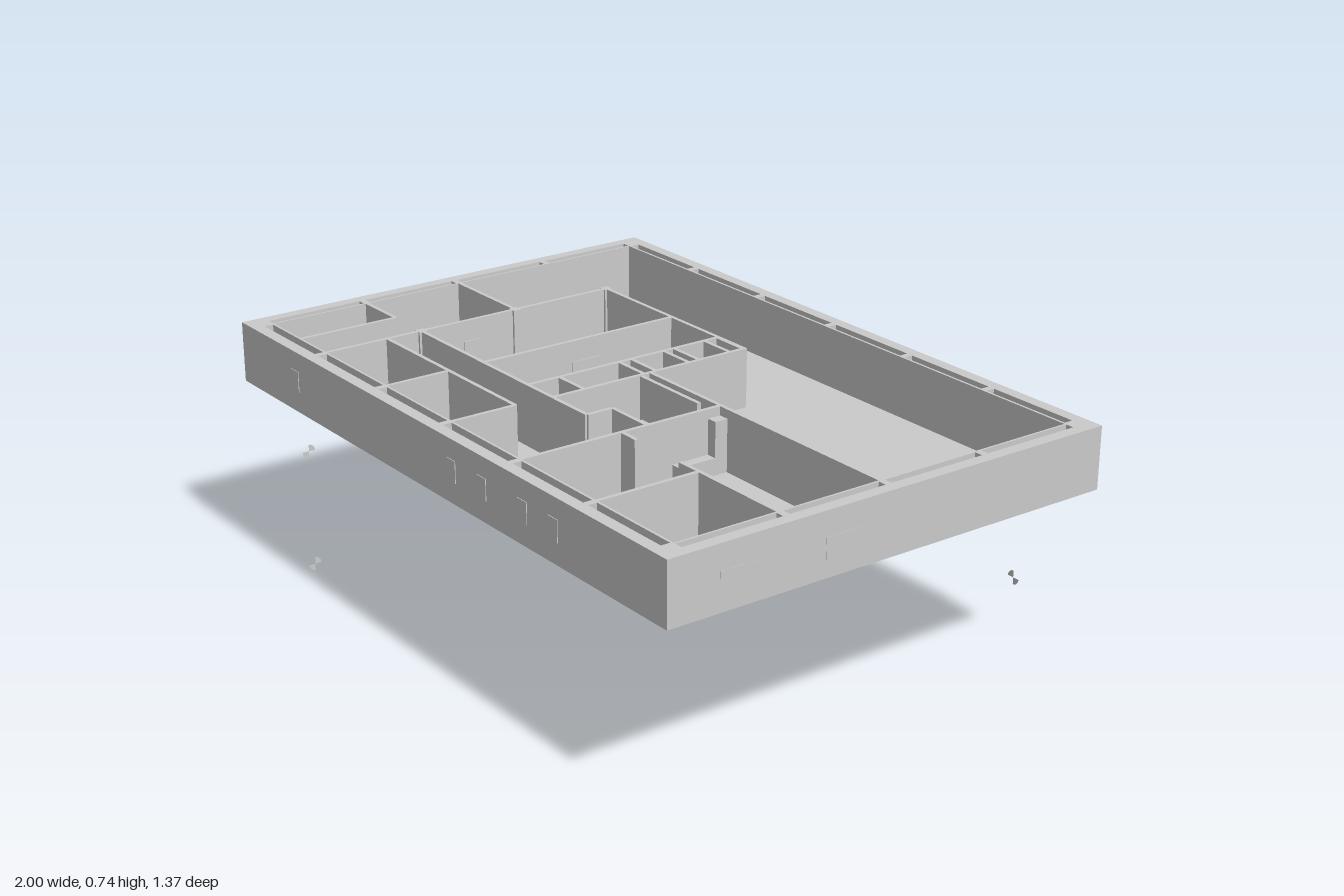
import * as THREE from 'three';

const FLOOR = 0.552, TOP = 0.725;

export function createModel() {
  const model = new THREE.Group();
  const grey = new THREE.MeshStandardMaterial({ color: 0xcccccc, flatShading: true });
  const thin = new THREE.MeshStandardMaterial({ color: 0xcccccc, side: THREE.DoubleSide });

  const add = (name, geometry, x = 0, y = 0, z = 0, material = grey) => {
    const mesh = new THREE.Mesh(geometry, material);
    mesh.name = name;
    mesh.position.set(x, y, z);
    model.add(mesh);
    return mesh;
  };
  // Box given by its plan rectangle and its lower and upper height
  const block = (name, x0, x1, z0, z1, y0 = FLOOR, y1 = TOP) =>
    add(name, new THREE.BoxGeometry(x1 - x0, y1 - y0, z1 - z0), (x0 + x1) / 2, (y0 + y1) / 2, (z0 + z1) / 2);
  const T = 0.006; // half thickness of a partition
  const wallX = (z, x0, x1) => block('partition', x0, x1, z - T, z + T);
  const wallZ = (x, z0, z1) => block('partition', x - T, x + T, z0, z1);

  // Floor slab
  block('floorSlab', -0.965, 0.965, -0.65, 0.65, 0.537, FLOOR);

  // Outer wall: one ring with a row of narrow cavities along each side
  const rect = (Type, x0, x1, y0, y1) => {
    const p = new Type();
    p.moveTo(x0, y0); p.lineTo(x1, y0); p.lineTo(x1, y1); p.lineTo(x0, y1); p.closePath();
    return p;
  };
  const ring = rect(THREE.Shape, -1, 1, -0.685, 0.685);
  ring.holes.push(rect(THREE.Path, -0.935, 0.935, -0.617, 0.617));
  for (const s of [-1, 1]) {
    const span = (a, b) => [Math.min(a * s, b * s), Math.max(a * s, b * s)];
    for (let i = -3; i < 3; i++) {
      const x0 = i === -3 ? -0.93 : i * 0.318 + 0.01, x1 = i === 2 ? 0.93 : (i + 1) * 0.318 - 0.01;
      ring.holes.push(rect(THREE.Path, x0, x1, ...span(0.624, 0.65)));
    }
    for (let i = -2; i < 2; i++) {
      const z0 = i * 0.314 + 0.01, z1 = (i + 1) * 0.314 - 0.01;
      ring.holes.push(rect(THREE.Path, ...span(0.941, 0.965), z0, z1));
    }
  }
  const ringGeometry = new THREE.ExtrudeGeometry(ring, { depth: TOP - 0.55, bevelEnabled: false });
  ringGeometry.rotateX(-Math.PI / 2);
  add('outerWall', ringGeometry, 0, 0.55, 0);

  // Partitions running along x: z, x start, x end
  [[0, -0.935, -0.64], [0, 0.01, 0.935], [-0.32, -0.64, 0.015],
    [0.315, -0.935, -0.78], [0.315, -0.64, 0.165], [0.235, 0.165, 0.315],
    [0.315, 0.315, 0.38], [0.315, 0.56, 0.935], [0.425, -0.64, 0],
    [0.035, 0.02, 0.27]].forEach(w => wallX(...w));
  // Partitions running along z: x, z start, z end
  [[-0.64, -0.32, 0.617], [-0.32, -0.32, 0.315], [-0.105, -0.32, 0.315],
    [0.01, -0.32, 0.315], [-0.78, 0.315, 0.617], [0.165, 0.235, 0.315],
    [0.315, 0, 0.617], [0.635, 0.315, 0.617], [0, 0.425, 0.617],
    [-0.32, 0.425, 0.617]].forEach(w => wallZ(...w));

  // Columns on the long partition
  for (const z of [-0.32, 0, 0.315]) block('column', -0.653, -0.627, z - 0.013, z + 0.013);

  // Service shafts: cross walls in the core
  for (const z of [-0.315, -0.27, -0.165, -0.13, -0.02, 0.02, 0.215]) wallX(z, -0.105, 0.01);

  // Door leaves, slightly proud of the partitions
  const DOOR = 0.665;
  [[-0.64, 0.12, 0.18], [-0.64, 0.35, 0.41], [-0.32, -0.07, 0.03], [-0.775, 0.49, 0.55],
    [0.312, 0.51, 0.57], [0.632, 0.52, 0.58]].forEach(([x, a, b]) =>
    block('door', x - 0.009, x + 0.009, a, b, FLOOR, DOOR));
  [[0.235, 0.21, 0.27], [0.425, -0.39, -0.33]].forEach(([z, a, b]) =>
    block('door', a, b, z - 0.009, z + 0.009, FLOOR, DOOR));

  // Washroom: fittings along the wall and a quarter round shower
  block('washbasin', 0.03, 0.08, 0.04, 0.105, 0.59, 0.605);
  block('counter', 0.115, 0.2, 0.04, 0.07, 0.585, 0.605);
  block('cistern', 0.225, 0.255, 0.04, 0.055, FLOOR, 0.62);
  block('toilet', 0.228, 0.252, 0.055, 0.075, FLOOR, 0.58);
  block('pipeDuct', 0.275, 0.31, 0.005, 0.045, FLOOR, 0.7);
  const quarter = new THREE.CylinderGeometry(0.065, 0.065, 0.012, 12, 1, false, Math.PI / 2, Math.PI / 2);
  add('showerTray', quarter, 0.018, FLOOR + 0.006, 0.305, thin);
  const screen = new THREE.CylinderGeometry(0.065, 0.065, 0.09, 12, 1, true, Math.PI / 2, Math.PI / 2);
  add('showerScreen', screen, 0.018, FLOOR + 0.045, 0.305, thin);

  // Kitchenette beside the washroom
  block('kitchenCabinet', 0.322, 0.352, 0.045, 0.16, FLOOR, 0.6);
  block('tallCabinet', 0.322, 0.352, 0.006, 0.045, FLOOR, 0.7);

  // Drain pipes below the slab
  for (const x of [0.267, 0.279])
    add('drainPipe', new THREE.CylinderGeometry(0.003, 0.003, 0.045, 8), x, 0.5375, 0.01);

  // Small flush panels on the outer faces
  for (const x of [-0.7, 0.1, 0.24, 0.42, 0.55])
    block('frontPanel', x - 0.02, x + 0.02, 0.684, 0.687, 0.61, 0.67);
  for (const z of [0.165, 0.48]) block('sidePanel', 0.999, 1.001, z - 0.055, z + 0.055, 0.6, 0.655);
  block('sidePanel', -1.001, -0.999, 0.085, 0.195, 0.6, 0.655);

  // Level markers: two opposite quadrants of a thin disc
  const marker = (x, y, z, turn) => {
    const group = new THREE.Group();
    group.name = 'levelMarker';
    for (const start of [Math.PI / 2, Math.PI * 1.5]) {
      const mesh = new THREE.Mesh(new THREE.CircleGeometry(0.02, 8, start, Math.PI / 2), thin);
      mesh.name = 'markerQuadrant';
      group.add(mesh);
    }
    group.position.set(x, y, z);
    group.rotation.y = turn;
    model.add(group);
  };
  for (const y of [0.025, 0.375, 0.55, 0.725]) marker(-0.806, y, 0.6, -Math.PI / 2);
  marker(0.725, 0.2, -0.685, 0);

  return model;
}
